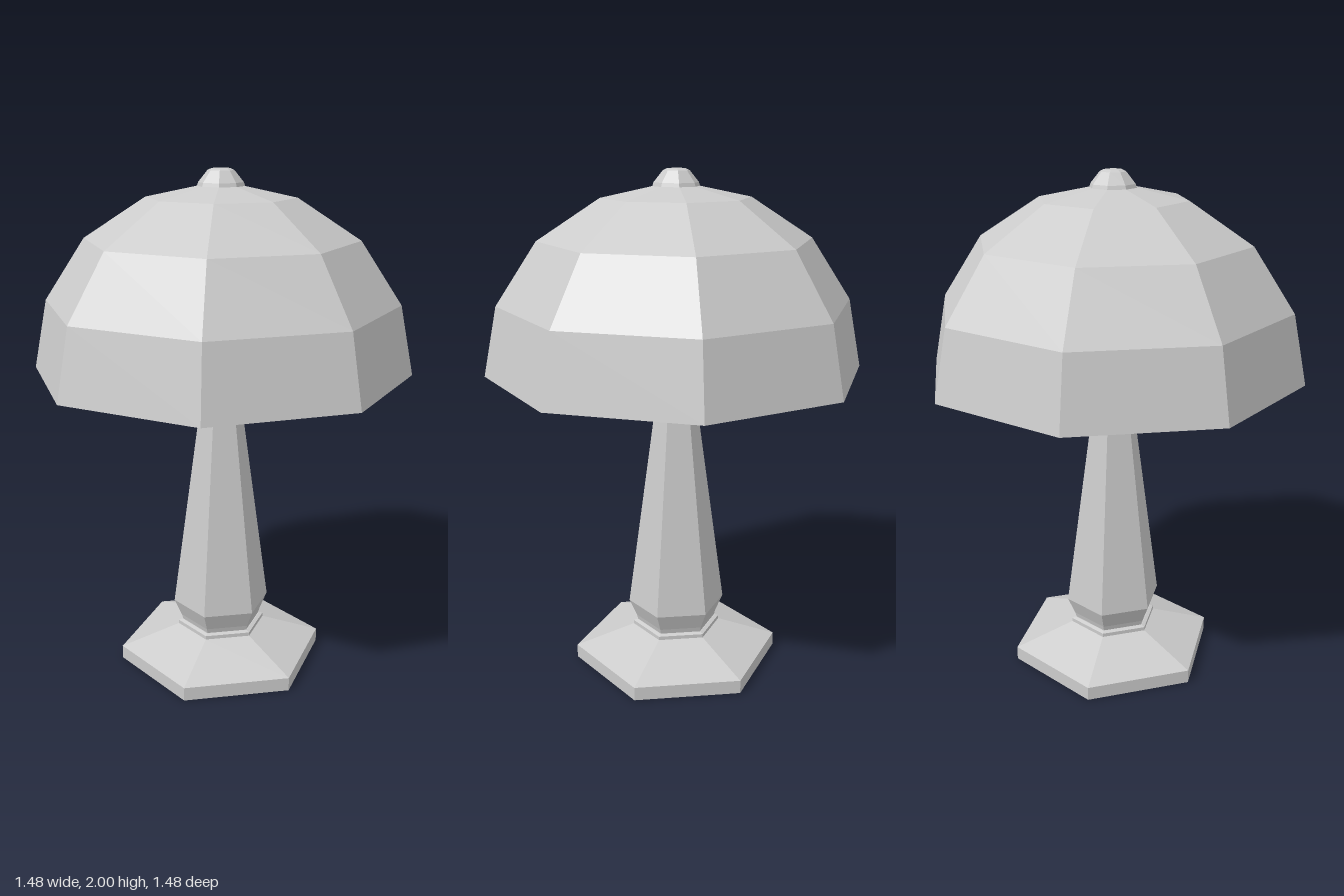
import * as THREE from 'three';

const material = new THREE.MeshStandardMaterial({ color: 0xcccccc, flatShading: true });

// Faceted solid of revolution; a corner always lies on the +x axis.
function faceted(name, sides, profile) {
  const points = profile.map(([r, y]) => new THREE.Vector2(r, y));
  const geometry = new THREE.LatheGeometry(points, sides, Math.PI / 2).toNonIndexed();
  geometry.computeVertexNormals();
  const mesh = new THREE.Mesh(geometry, material);
  mesh.name = name;
  return mesh;
}

export function createModel() {
  const lamp = new THREE.Group();
  lamp.name = 'tableLamp';

  // Hexagonal foot with a sloping top and a small collar
  lamp.add(faceted('base', 6, [
    [0, 0], [0.42, 0], [0.42, 0.055], [0.18, 0.14], [0, 0.14],
  ]));
  lamp.add(faceted('collar', 6, [
    [0, 0.135], [0.18, 0.14], [0.18, 0.155], [0.165, 0.16], [0, 0.16],
  ]));

  // Tapered hexagonal column
  lamp.add(faceted('column', 6, [
    [0, 0.15], [0.16, 0.155], [0.167, 0.18], [0.197, 0.25], [0.08, 1.115], [0, 1.115],
  ]));

  // Bulb holder, widest just below the shade
  lamp.add(faceted('socket', 6, [
    [0, 1.112], [0.08, 1.112], [0.175, 1.19], [0.13, 1.47], [0, 1.47],
  ]));

  // Post that carries the shade
  lamp.add(faceted('shadePost', 8, [
    [0, 1.46], [0.075, 1.46], [0.075, 1.93], [0, 1.93],
  ]));

  // Hollow eight-sided dome: inner wall down to the rim, outer wall back up
  lamp.add(faceted('shade', 8, [
    [0, 1.93], [0.28, 1.875], [0.51, 1.725], [0.668, 1.49], [0.72, 1.23],
    [0.74, 1.23], [0.685, 1.5], [0.525, 1.74], [0.285, 1.895], [0, 1.955],
  ]));

  // Cap on top of the shade
  lamp.add(faceted('finial', 8, [
    [0, 1.93], [0.09, 1.935], [0.085, 1.95], [0.05, 1.993], [0.035, 2], [0, 2],
  ]));

  return lamp;
}
